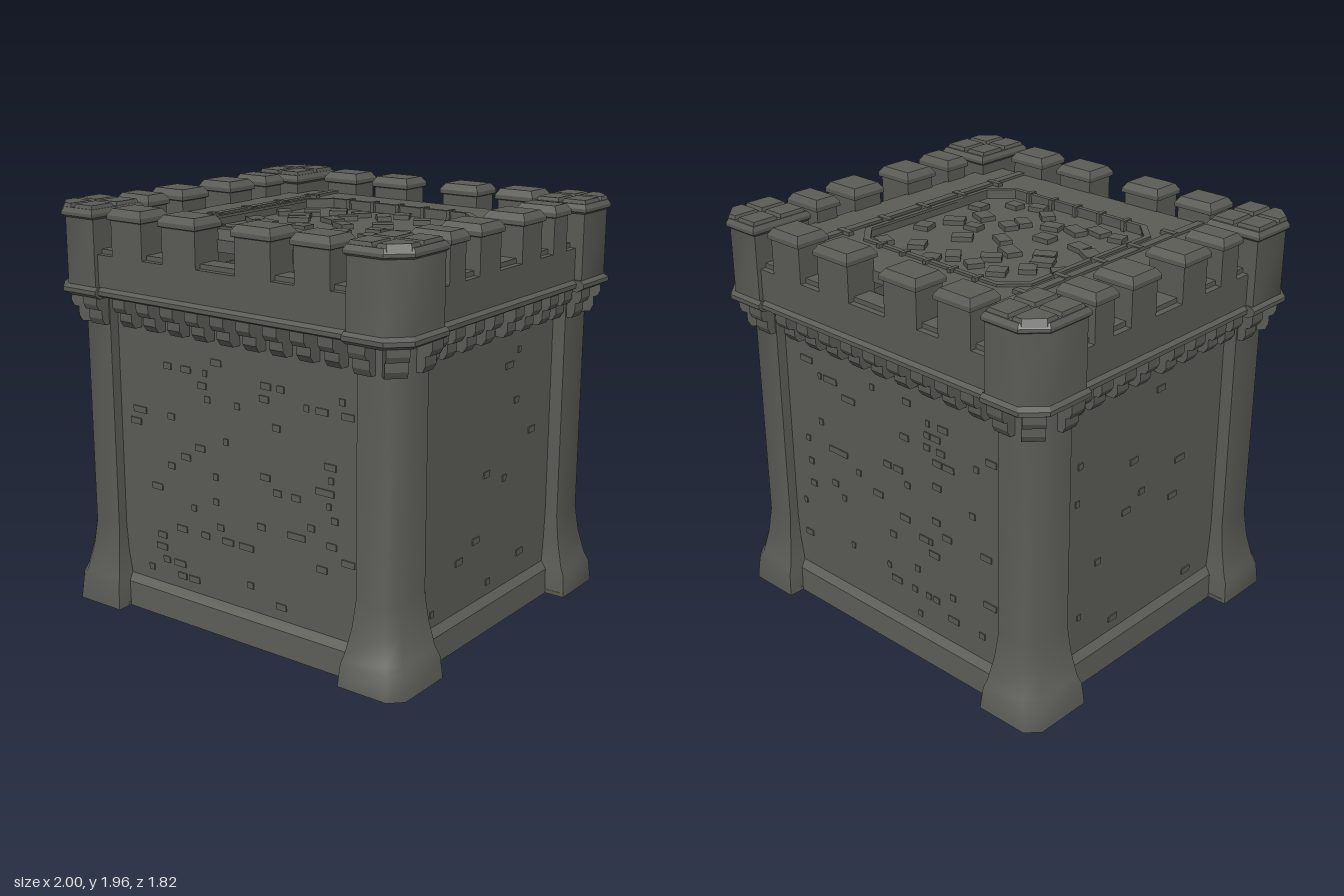
import * as THREE from 'three';
import { toCreasedNormals } from 'three/addons/utils/BufferGeometryUtils.js';

const stone = new THREE.MeshStandardMaterial({ color: 0x5b5c56, side: THREE.DoubleSide });
stone.name = 'dark stone';

let seed = 7;
const rnd = () => (seed = (seed * 16807) % 2147483647) / 2147483647;
const range = (a, b) => a + (b - a) * rnd();

function add(group, name, geometry, x = 0, y = 0, z = 0, turn = 0) {
  const m = new THREE.Mesh(geometry, stone);
  m.name = name;
  m.position.set(x, y, z);
  m.rotation.y = turn;
  group.add(m);
  return m;
}

// Box from its limits
function block(group, name, x0, x1, y0, y1, z0, z1) {
  return add(group, name, new THREE.BoxGeometry(x1 - x0, y1 - y0, z1 - z0),
    (x0 + x1) / 2, (y0 + y1) / 2, (z0 + z1) / 2);
}

// Flat-shaded loft through sections [y, x0, x1, z0, z1, outer chamfer], mirrored by sx and sz
function loft(sections, sx = 1, sz = 1, capped = true) {
  const rings = sections.map(([y, x0, x1, z0, z1, c = 0]) => {
    const ring = (c ? [[x0, z1], [x1 - c, z1], [x1, z1 - c], [x1, z0], [x0, z0]]
      : [[x0, z1], [x1, z1], [x1, z0], [x0, z0]]).map(([x, z]) => [x * sx, y, z * sz]);
    return sx * sz < 0 ? ring.reverse() : ring;
  });
  const pos = [];
  const tri = (a, b, c) => pos.push(...a, ...b, ...c);
  const n = rings[0].length;
  for (let r = 0; r + 1 < rings.length; r++) {
    for (let i = 0; i < n; i++) {
      const j = (i + 1) % n, lo = rings[r], hi = rings[r + 1];
      tri(lo[i], lo[j], hi[j]);
      tri(lo[i], hi[j], hi[i]);
    }
  }
  if (capped) {
    const lo = rings[0], hi = rings[rings.length - 1];
    for (let i = 1; i + 1 < n; i++) {
      tri(hi[0], hi[i], hi[i + 1]);
      tri(lo[0], lo[i + 1], lo[i]);
    }
  }
  const g = new THREE.BufferGeometry();
  g.setAttribute('position', new THREE.Float32BufferAttribute(pos, 3));
  g.computeVertexNormals();
  return g;
}

// Stepped bracket, back at z = 0, reaching out along +z
function corbelGeometry() {
  const s = new THREE.Shape();
  s.moveTo(-0.05, 0.15);
  for (const p of [[0.1, 0.15], [0.1, 0.1], [0.085, 0.075], [0.06, 0.07], [0.06, 0.03], [0.04, 0], [-0.05, 0]]) s.lineTo(...p);
  const g = new THREE.ExtrudeGeometry(s, { depth: 0.075, bevelEnabled: false });
  g.translate(0, 0, -0.0375);
  g.rotateY(-Math.PI / 2);
  return g;
}

function merlon(group, x0, x1, z0, z1) {
  const e = 0.012, i = 0.02;
  add(group, 'merlon', loft([
    [1.73, x0 + e, x1 - e, z0 + e, z1 - e], [1.9, x0 + e, x1 - e, z0 + e, z1 - e],
    [1.905, x0, x1, z0, z1], [1.925, x0, x1, z0, z1],
    [1.955, x0 + i, x1 - i, z0 + i, z1 - i],
  ]));
}

function corner(group, sx, sz, corbel) {
  // Hollow post with flared foot, soft outer edges
  add(group, 'cornerPost', toCreasedNormals(loft([
    [0, 0.66, 0.98, 0.54, 0.885, 0.06], [0.11, 0.67, 0.97, 0.55, 0.875, 0.06],
    [0.15, 0.68, 0.95, 0.56, 0.858, 0.055], [0.27, 0.7, 0.922, 0.572, 0.832, 0.05],
    [0.4, 0.71, 0.905, 0.58, 0.815, 0.045], [1.56, 0.71, 0.905, 0.58, 0.815, 0.045],
  ], sx, sz, false), 0.9));
  // Rim under the foot
  for (const [x0, x1, z0, z1] of [[0.66, 0.7, 0.54, 0.82], [0.92, 0.96, 0.54, 0.82],
    [0.7, 0.92, 0.54, 0.58], [0.68, 0.92, 0.82, 0.865]]) {
    add(group, 'footRim', loft([[0.002, x0, x1, z0, z1], [0.02, x0, x1, z0, z1]], sx, sz));
  }
  add(group, 'cornerCourse', loft([
    [1.53, 0.7, 0.965, 0.57, 0.885, 0.085], [1.55, 0.7, 0.998, 0.57, 0.912, 0.09],
    [1.57, 0.7, 0.998, 0.57, 0.912, 0.09], [1.585, 0.7, 0.98, 0.57, 0.895, 0.09],
  ], sx, sz));
  add(group, 'turret', toCreasedNormals(loft([
    [1.56, 0.712, 0.98, 0.582, 0.895, 0.09], [1.9, 0.712, 0.98, 0.582, 0.895, 0.09],
  ], sx, sz), 0.9));
  add(group, 'turretCap', loft([
    [1.895, 0.712, 0.98, 0.582, 0.895, 0.09],
    [1.905, 0.705, 0.992, 0.572, 0.908, 0.09], [1.92, 0.705, 0.992, 0.572, 0.908, 0.09],
    [1.94, 0.715, 0.98, 0.585, 0.895, 0.085],
  ], sx, sz));
  // Four cap stones parted by a cross-shaped groove
  for (const [x0, x1, z0, z1, c] of [[0.725, 0.83, 0.6, 0.73], [0.725, 0.83, 0.76, 0.885],
    [0.86, 0.97, 0.6, 0.73], [0.86, 0.97, 0.76, 0.885, 0.07]]) {
    add(group, 'capStone', loft([[1.925, x0 - 0.01, x1 + 0.01, z0 - 0.01, z1 + 0.01, c],
      [1.957, x0, x1, z0, z1, c]], sx, sz));
  }
  // Brackets round the post, the large one on the diagonal
  const put = (x, z, a, w) => add(group, 'cornerCorbel', corbel, x * sx, 1.4, z * sz, a).scale.set(w, 1, 0.8);
  put(0.76, 0.81, sz > 0 ? 0 : Math.PI, 1.15);
  put(0.9, 0.63, sx * Math.PI / 2, 1.1);
  put(0.875, 0.785, Math.atan2(sx, sz), 1.3);
}

// Scattered proud bricks on a wall facing +z in its own group
function bricks(group, count, half, face) {
  for (let i = 0; i < count; i++) {
    const y = 0.22 + 0.06 * Math.floor(range(0, 19));
    const w = range(0.02, 0.07);
    add(group, 'wallBrick', new THREE.BoxGeometry(w, 0.03, 0.012), range(-half, half), y, face);
  }
}

function wallSide({ half, face, out, depth, corbels, merlons, brickCount }, corbel) {
  const g = new THREE.Group();
  g.name = 'wallSide';
  block(g, 'wall', -half, half, 0.1, 1.56, face - 0.02, face);
  add(g, 'plinth', loft([[0, -half, half, face + 0.005, face + 0.04], [0.12, -half, half, face - 0.01, face + 0.03],
    [0.155, -half, half, face - 0.01, face]]));
  bricks(g, brickCount, half - 0.08, face);
  for (const x of corbels) add(g, 'corbel', corbel, x, 1.4, face).scale.z = (out - face) / 0.1;
  add(g, 'stringCourse', loft([[1.54, -half, half, face - 0.03, out], [1.55, -half, half, face - 0.03, out + 0.018],
    [1.57, -half, half, face - 0.03, out + 0.018], [1.585, -half, half, face - 0.03, out]]));
  block(g, 'parapet', -half, half, 1.56, 1.735, out - depth, out);
  block(g, 'parapetCoping', -half, half, 1.73, 1.757, out - depth + 0.04, out - 0.03);
  for (const s of [-1, 1]) {
    for (const [a, b] of merlons) merlon(g, Math.min(a * s, b * s), Math.max(a * s, b * s), out - depth, out + 0.012);
  }
  return g;
}

// Octagonal outline of the sunken roof panel
function octagon(path, x, z, c) {
  path.moveTo(-x + c, -z);
  for (const p of [[x - c, -z], [x, -z + c], [x, z - c], [x - c, z], [-x + c, z], [-x, z - c], [-x, -z + c]]) path.lineTo(...p);
  path.closePath();
  return path;
}

function roof() {
  const g = new THREE.Group();
  g.name = 'roof';
  const flat = (name, shape, depth, y) => {
    const geo = new THREE.ExtrudeGeometry(shape, { depth, bevelEnabled: false });
    geo.rotateX(-Math.PI / 2);
    add(g, name, geo, 0, y, 0);
  };
  const slab = new THREE.Shape();
  slab.moveTo(-0.77, -0.73);
  for (const p of [[0.77, -0.73], [0.77, 0.73], [-0.77, 0.73]]) slab.lineTo(...p);
  slab.closePath();
  slab.holes.push(octagon(new THREE.Path(), 0.5, 0.49, 0.1));
  flat('roofSlab', slab, 0.055, 1.792);
  flat('roofPanel', octagon(new THREE.Shape(), 0.52, 0.51, 0.1), 0.022, 1.79);
  const rim = octagon(new THREE.Shape(), 0.52, 0.51, 0.105);
  rim.holes.push(octagon(new THREE.Path(), 0.495, 0.485, 0.1));
  flat('panelRim', rim, 0.014, 1.845);
  for (const s of [-1, 1]) {
    block(g, 'roofRidge', s * 0.57 - 0.02, s * 0.57 + 0.02, 1.84, 1.86, -0.72, 0.72);
    for (let i = -2; i <= 2; i++) {
      block(g, 'rimStud', i * 0.15 - 0.01, i * 0.15 + 0.01, 1.81, 1.864, s * 0.5 - 0.03, s * 0.5 + 0.025);
      block(g, 'ridgeStud', s * 0.55 - 0.04, s * 0.55 + 0.04, 1.83, 1.865, i * 0.25 - 0.015, i * 0.25 + 0.015);
    }
  }
  // Loose paving stones
  const spots = [[-.25, -.33], [-.11, -.33], [.03, -.32], [.08, -.41], [.25, -.33], [.4, -.4], [-.33, -.22], [-.11, -.22],
    [-.32, -.11], [-.12, -.11], [.17, -.12], [.41, -.13], [-.27, -.04], [.01, -.02], [.23, .02], [.36, .02], [-.42, .1],
    [-.32, .14], [-.12, .13], [.12, .14], [.3, .16], [.42, .25], [-.16, .3], [-.04, .27], [.1, .22], [-.37, .35],
    [-.25, .36], [.08, .37], [.3, .38], [.19, .43], [-.46, -.16]];
  for (const [x, z] of spots) {
    add(g, 'pavingStone', new THREE.BoxGeometry(range(0.07, 0.11), 0.03, range(0.06, 0.08)), x, 1.82, z, range(-0.9, 0.9));
  }
  return g;
}

export function createModel() {
  const model = new THREE.Group();
  model.name = 'castleTower';
  const corbel = corbelGeometry();
  const frontWall = {
    half: 0.72, face: 0.765, out: 0.875, depth: 0.165, brickCount: 60,
    corbels: [-4, -3, -2, -1, 0, 1, 2, 3, 4].map(i => i * 0.148), merlons: [[0.1, 0.32], [0.42, 0.63]],
  };
  const sideWall = {
    half: 0.59, face: 0.84, out: 0.942, depth: 0.2, brickCount: 12,
    corbels: [-0.53, -0.4, -0.245, -0.09, 0.09, 0.245, 0.4, 0.53], merlons: [[0.08, 0.27], [0.36, 0.505]],
  };
  for (let i = 0; i < 4; i++) {
    const w = wallSide(i % 2 ? sideWall : frontWall, corbel);
    w.rotation.y = i * Math.PI / 2;
    model.add(w);
  }
  for (const sx of [-1, 1]) for (const sz of [-1, 1]) corner(model, sx, sz, corbel);
  model.add(roof());
  return model;
}
